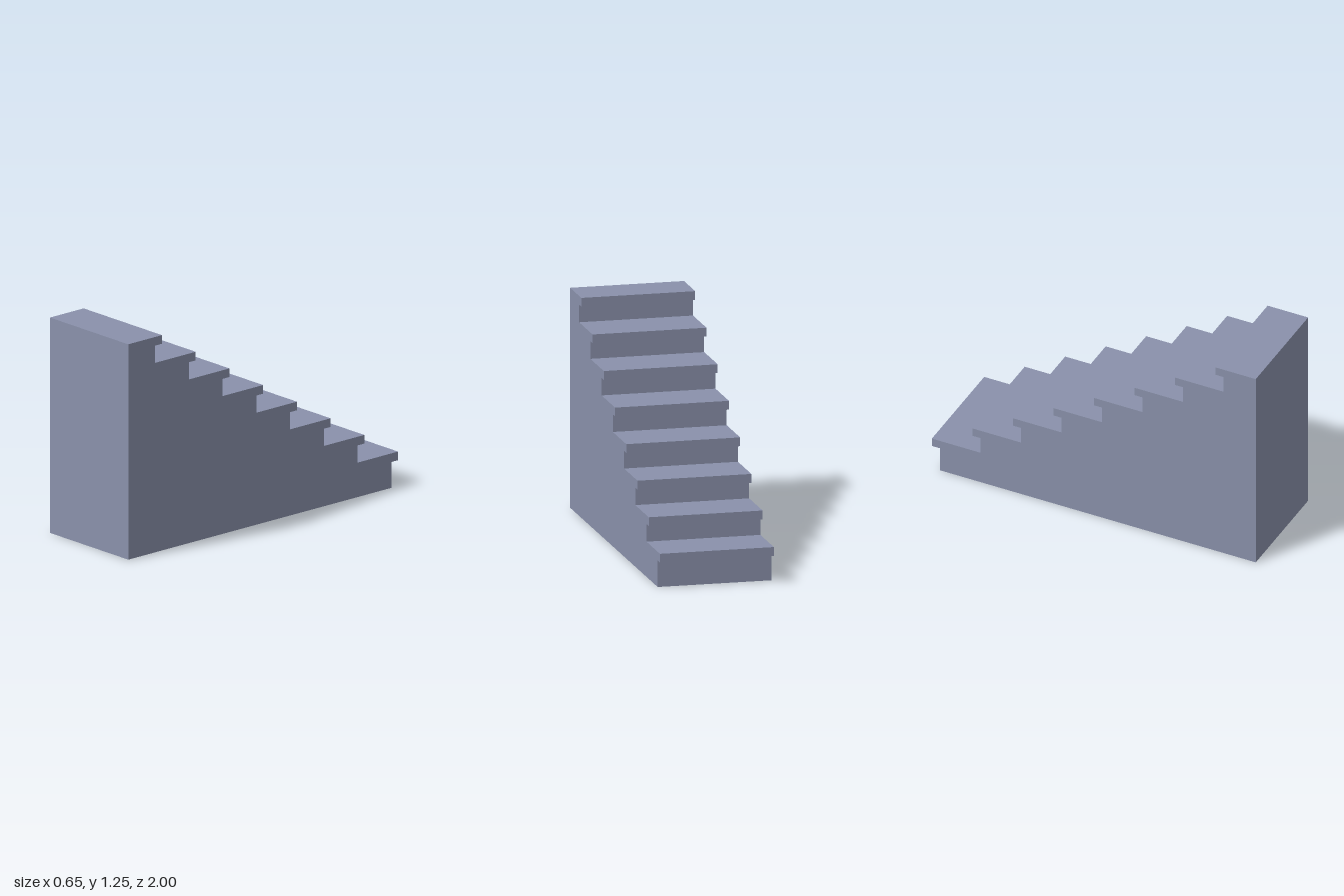
import * as THREE from 'three';

const STEPS = 8;
const WIDTH = 0.65;
const RUN = 0.25;      // depth of each step
const RISE = 0.15;     // height of each step
const NOSE = 0.05;     // overhang and thickness of the tread lip

// Side outline of the solid stair, drawn as (z, y)
function stairProfile() {
  const shape = new THREE.Shape();
  shape.moveTo(1, 0);
  shape.lineTo(1, 0.2 + RISE * (STEPS - 1));
  for (let i = STEPS - 1; i >= 0; i--) {
    const top = 0.2 + RISE * i;
    const nose = -1 + RUN * i;
    const foot = i === 0 ? 0 : top - RISE;
    shape.lineTo(nose, top);
    shape.lineTo(nose, top - NOSE);
    shape.lineTo(nose + NOSE, top - NOSE);
    shape.lineTo(nose + NOSE, foot);
  }
  shape.closePath();
  return shape;
}

export function createModel() {
  const group = new THREE.Group();
  group.name = 'staircase';

  const stone = new THREE.MeshStandardMaterial({ color: 0x8a91ab });
  stone.name = 'blue grey stone';

  // Extrude across the width, then turn the outline to run along z
  const geometry = new THREE.ExtrudeGeometry(stairProfile(), { depth: WIDTH, bevelEnabled: false });
  geometry.translate(0, 0, -WIDTH / 2);
  geometry.rotateY(-Math.PI / 2);

  const stairs = new THREE.Mesh(geometry, stone);
  stairs.name = 'steps';
  group.add(stairs);
  return group;
}
